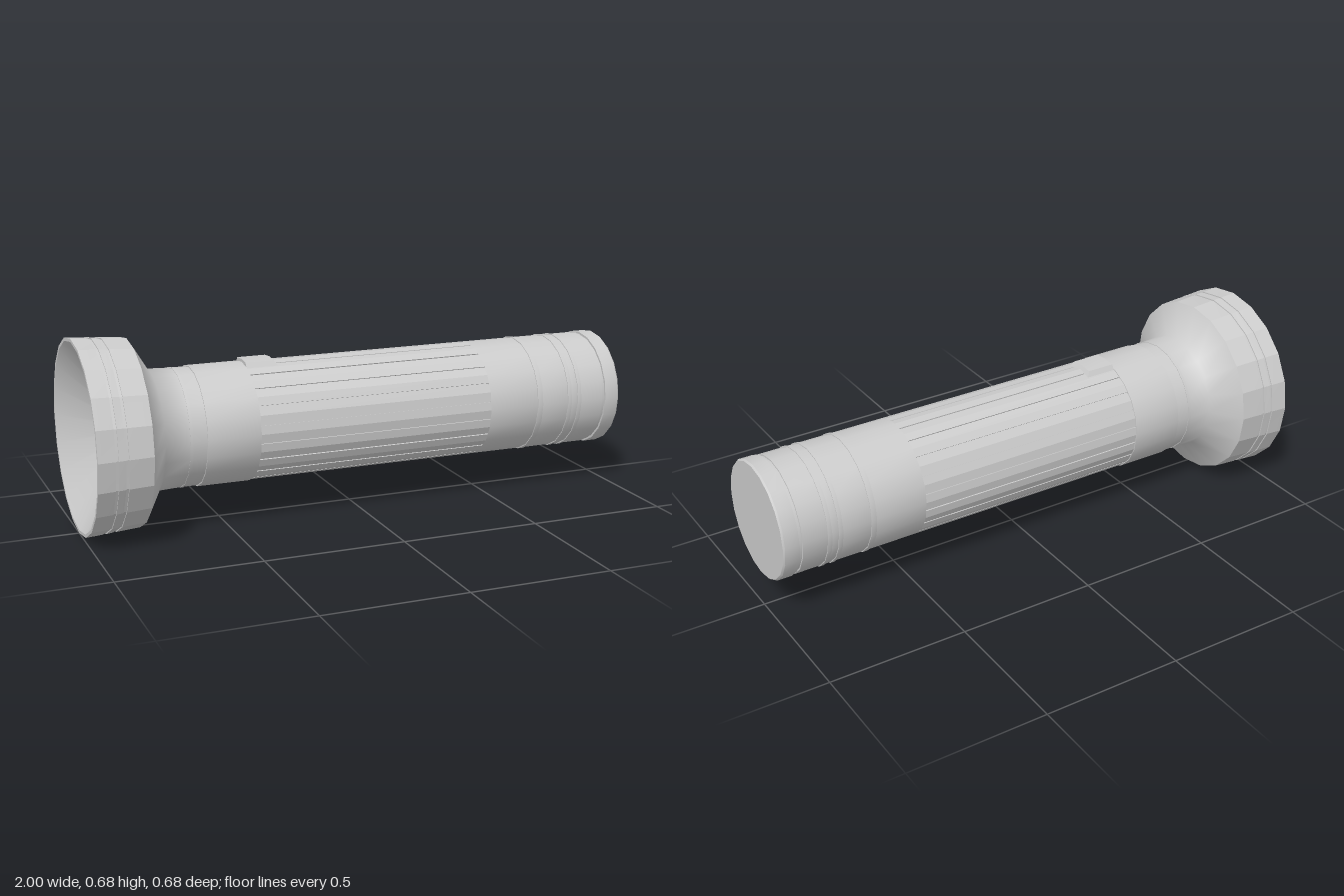
import * as THREE from 'three';
import { toCreasedNormals } from 'three/addons/utils/BufferGeometryUtils.js';

const SIDES = 20;
const AXIS_Y = 0.342;

export function createModel() {
  const group = new THREE.Group();
  const material = new THREE.MeshStandardMaterial({ color: 0xcccccc });

  function add(name, geometry) {
    const mesh = new THREE.Mesh(geometry, material);
    mesh.name = name;
    group.add(mesh);
    return mesh;
  }

  // Turned part along the x axis from [x, radius] points; crease 0 keeps fully smooth normals
  function turned(name, points, crease) {
    let geometry = new THREE.LatheGeometry(points.map(([x, r]) => new THREE.Vector2(r, x)), SIDES);
    geometry.rotateZ(-Math.PI / 2);
    geometry.translate(0, AXIS_Y, 0);
    if (crease) geometry = toCreasedNormals(geometry, crease);
    return add(name, geometry);
  }

  // Profile points of a shallow groove (negative depth) or raised band
  const band = (x0, x1, r, height) => [[x0, r], [x0, r + height], [x1, r + height], [x1, r]];

  // Head: concave reflector, faceted rim and smooth flare into the neck
  turned('reflector', [[-0.80, 0], [-0.81, 0.05], [-1, 0.33]], 0.5);
  turned('headRim', [
    [-1, 0.33], [-1, 0.341],
    ...band(-0.94, -0.93, 0.337, -0.004),
    ...band(-0.905, -0.895, 0.334, -0.004),
    [-0.81, 0.328],
  ], 0.2);
  turned('headFlare', [[-0.81, 0.328], [-0.74, 0.212], [-0.65, 0.208], [-0.595, 0.208]], 0);

  // Bulb in front of the reflector
  add('bulb', new THREE.SphereGeometry(0.053, 20, 14)).position.set(-0.85, AXIS_Y, 0);

  // Collar between the neck and the grip
  turned('collar', [
    [-0.66, 0.207], ...band(-0.655, -0.645, 0.207, 0.003),
    [-0.595, 0.207], [-0.595, 0.212], [-0.405, 0.212], [-0.405, 0.2],
  ], 0.4);

  // Grip: flat panels, each with a fine groove along its middle
  const grip = new THREE.Shape();
  const radius = 0.209, depth = 0.004, halfWidth = 0.0025;
  for (let i = 0; i < SIDES; i++) {
    const a = (i / SIDES) * Math.PI * 2;
    const mid = a + Math.PI / SIDES;
    const flat = radius * Math.cos(Math.PI / SIDES);
    if (i === 0) grip.moveTo(radius, 0);
    else grip.lineTo(radius * Math.cos(a), radius * Math.sin(a));
    for (const [r, w] of [[flat, -1], [flat - depth, -1], [flat - depth, 1], [flat, 1]]) {
      const t = w * halfWidth;
      grip.lineTo(r * Math.cos(mid) - t * Math.sin(mid), r * Math.sin(mid) + t * Math.cos(mid));
    }
  }
  const gripGeometry = new THREE.ExtrudeGeometry(grip, { depth: 0.875, bevelEnabled: false });
  gripGeometry.rotateY(Math.PI / 2);
  gripGeometry.translate(-0.405, AXIS_Y, 0);
  add('grip', gripGeometry);

  // Tail with thin bands and a flat end cap
  turned('tail', [
    [0.47, 0.2], [0.47, 0.209],
    ...band(0.66, 0.68, 0.209, 0.003),
    ...band(0.785, 0.80, 0.209, 0.003),
    ...band(0.825, 0.84, 0.209, 0.003),
    [0.93, 0.209], [0.93, 0.204], [0.942, 0.204], [0.942, 0.212],
    [0.994, 0.212], [1, 0.207], [1, 0],
  ], 0.4);

  // Switch: low button, crowned across and tapered towards the tail
  let button = new THREE.BoxGeometry(0.12, 0.03, 0.124, 1, 1, 2);
  const pos = button.attributes.position;
  for (let i = 0; i < pos.count; i++) {
    if (pos.getY(i) < 0) continue;
    if (pos.getX(i) > 0) pos.setX(i, 0.043);
    const z = pos.getZ(i);
    pos.setZ(i, z * 0.75);
    if (Math.abs(z) > 0.01) pos.setY(i, 0.011);
  }
  button = toCreasedNormals(button, 0.3);
  add('switchButton', button).position.set(-0.345, 0.549, 0);

  return group;
}
